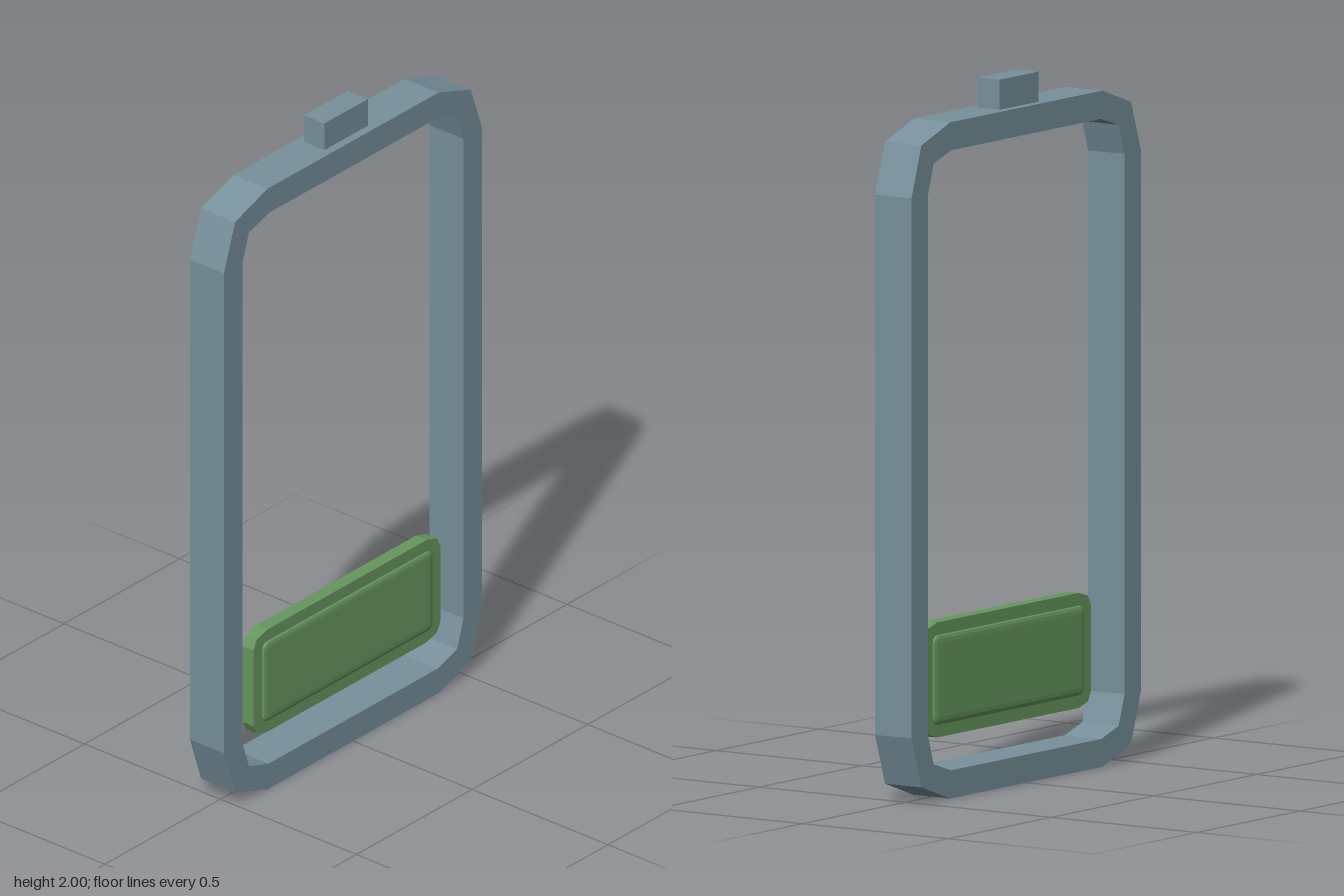
import * as THREE from 'three';

const steel = new THREE.MeshStandardMaterial({ color: 0x78909c });
steel.name = 'blue grey';
const green = new THREE.MeshStandardMaterial({ color: 0x67965f });
green.name = 'leaf green';

// Mirrors the points of one corner (from the side round to the top) into a closed outline.
function outline(corner, cy) {
  const back = [...corner].reverse();
  return [
    ...corner.map(([x, y]) => [x, y]),
    ...back.map(([x, y]) => [-x, y]),
    ...corner.map(([x, y]) => [-x, -y]),
    ...back.map(([x, y]) => [x, -y]),
  ].map(([x, y]) => new THREE.Vector2(x, y + cy));
}

function roundedRect(w, h, r, cy) {
  const corner = [];
  for (let i = 0; i <= 4; i++) {
    const a = (i / 4) * Math.PI / 2;
    corner.push([w - r + r * Math.cos(a), h - r + r * Math.sin(a)]);
  }
  return new THREE.Shape(outline(corner, cy));
}

function addMesh(group, name, geometry, material) {
  const mesh = new THREE.Mesh(geometry, material);
  mesh.name = name;
  group.add(mesh);
  return mesh;
}

export function createModel() {
  const group = new THREE.Group();
  group.name = 'framedHolder';

  // Open frame with faceted corners
  const frameY = 0.9575;
  const frameShape = new THREE.Shape(
    outline([[0.558, 0.765], [0.51, 0.909], [0.37, 0.9575]], frameY));
  frameShape.holes.push(new THREE.Path(
    outline([[0.478, 0.765], [0.45, 0.851], [0.365, 0.878]], frameY).reverse()));
  const frame = new THREE.ExtrudeGeometry(frameShape, { depth: 0.125, bevelEnabled: false });
  frame.translate(0, 0, -0.0625);
  addMesh(group, 'frame', frame, steel);

  // Small block on the top rail
  const tab = addMesh(group, 'topTab', new THREE.BoxGeometry(0.188, 0.1, 0.075), steel);
  tab.position.set(0, 1.95, 0);

  // Floating panel, set slightly forward of the middle
  const panel = new THREE.Group();
  panel.name = 'panel';
  panel.position.set(0, 0.3275, 0.02);
  group.add(panel);

  const plate = new THREE.ExtrudeGeometry(
    new THREE.Shape(outline([[0.404, 0.121], [0.389, 0.15], [0.345, 0.163]], 0)),
    { depth: 0.04, bevelEnabled: false });
  plate.translate(0, 0, -0.02);
  addMesh(panel, 'panelPlate', plate, green);

  // Raised, bevelled insert showing on both faces of the plate
  const insert = new THREE.ExtrudeGeometry(roundedRect(0.367, 0.127, 0.022, 0), {
    depth: 0.042, bevelEnabled: true, bevelThickness: 0.007,
    bevelSize: 0.022, bevelOffset: -0.022, bevelSegments: 3,
  });
  insert.translate(0, 0, -0.021);
  addMesh(panel, 'panelInsert', insert, green);

  return group;
}
